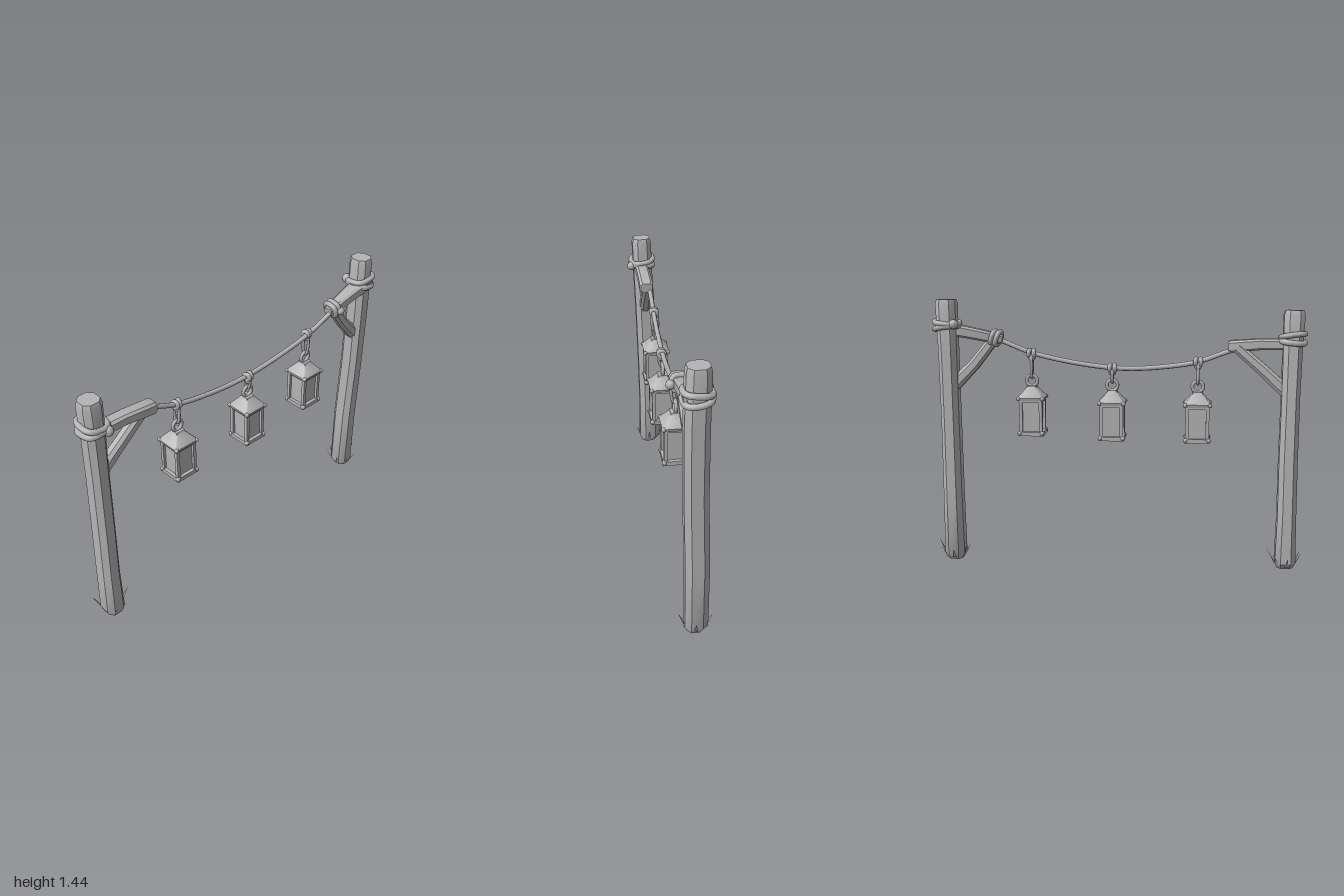
import * as THREE from 'three';
import { toCreasedNormals } from 'three/addons/utils/BufferGeometryUtils.js';

const V = (x, y, z) => new THREE.Vector3(x, y, z);
const grey = new THREE.MeshStandardMaterial({ color: 0xb4b4b4 });
grey.name = 'plain grey';
const greyThin = new THREE.MeshStandardMaterial({ color: 0xb4b4b4, side: THREE.DoubleSide });
greyThin.name = 'plain grey thin';

function add(parent, name, geometry, material = grey) {
  const mesh = new THREE.Mesh(geometry, material);
  mesh.name = name;
  parent.add(mesh);
  return mesh;
}

// Chamfered timber lofted through sections [x, y, z, width along x, depth]
function timber(sections, chamfer = 0.5) {
  const c = 1 - chamfer;
  const outline = [[1, -c], [1, c], [c, 1], [-c, 1], [-1, c], [-1, -c], [-c, -1], [c, -1]];
  const n = outline.length, pos = [], idx = [];
  const pts = sections.map(s => V(s[0], s[1], s[2]));
  const dir = pts[pts.length - 1].clone().sub(pts[0]).normalize();
  const v = dir.clone().cross(V(1, 0, 0)).normalize();
  const u = v.clone().cross(dir);
  sections.forEach((s, k) => outline.forEach(([a, b]) => {
    const p = pts[k].clone().addScaledVector(u, a * s[3] / 2).addScaledVector(v, b * s[4] / 2);
    pos.push(p.x, p.y, p.z);
  }));
  for (let k = 0; k < sections.length - 1; k++) {
    for (let i = 0; i < n; i++) {
      const a = k * n + i, b = k * n + (i + 1) % n;
      idx.push(a, b, b + n, a, b + n, a + n);
    }
  }
  const last = (sections.length - 1) * n;
  for (let i = 1; i < n - 1; i++) {
    idx.push(0, i + 1, i, last, last + i, last + i + 1);
  }
  const g = new THREE.BufferGeometry();
  g.setAttribute('position', new THREE.Float32BufferAttribute(pos, 3));
  g.setIndex(idx);
  return toCreasedNormals(g, 0.6);
}

const tube = (points, radius, closed = false, steps = 32) => new THREE.TubeGeometry(
  new THREE.CatmullRomCurve3(points, closed), steps, radius, 8, closed);

// Rounded rope loop around a squarish timber
function wrap(parent, name, center, axis, rx, rz, radius, tilt) {
  const pts = [];
  for (let i = 0; i < 16; i++) {
    const a = i / 16 * Math.PI * 2;
    const r = 1 + 0.05 * Math.cos(4 * a + Math.PI);
    pts.push(V(rx * r * Math.cos(a), tilt * Math.cos(a + 0.8), rz * r * Math.sin(a)));
  }
  const m = add(parent, name, tube(pts, radius, true, 48));
  m.quaternion.setFromUnitVectors(V(0, 1, 0), axis.clone().normalize());
  m.position.copy(center);
}

// Pointed blades around a post foot
function grass(parent, x, z) {
  for (let i = 0; i < 7; i++) {
    const a = i / 7 * Math.PI * 2 + 0.35, h = 0.06 + 0.02 * (i % 3);
    const blade = new THREE.Shape([
      new THREE.Vector2(-0.012, 0), new THREE.Vector2(0.012, 0), new THREE.Vector2(0, h)]);
    const pivot = new THREE.Group();
    pivot.name = 'grassBlade';
    pivot.position.set(x + 0.058 * Math.cos(a), 0.03, z + 0.052 * Math.sin(a));
    pivot.rotation.y = Math.PI / 2 - a;
    add(pivot, 'blade', new THREE.ShapeGeometry(blade), greyThin).rotation.x = 0.5;
    parent.add(pivot);
  }
}

// Lantern with base at y = 0
function makeLantern() {
  const g = new THREE.Group();
  g.name = 'lantern';
  const box = (name, w, h, d, x, y, z) =>
    add(g, name, new THREE.BoxGeometry(w, h, d)).position.set(x, y, z);
  box('base', 0.136, 0.022, 0.136, 0, 0.011, 0);
  box('glassBody', 0.098, 0.175, 0.098, 0, 0.108, 0);
  box('topRail', 0.122, 0.018, 0.122, 0, 0.19, 0);
  for (const sx of [-1, 1]) {
    for (const sz of [-1, 1]) {
      box('cornerPost', 0.018, 0.18, 0.018, sx * 0.054, 0.105, sz * 0.054);
      const foot = add(g, 'cornerKnob', new THREE.SphereGeometry(0.013, 8, 6));
      foot.position.set(sx * 0.061, 0.014, sz * 0.061);
      const eave = add(g, 'eaveKnob', new THREE.SphereGeometry(0.012, 8, 6));
      eave.position.set(sx * 0.065, 0.203, sz * 0.065);
    }
  }
  // Flared square roof
  const roof = timber([
    [0, 0.192, 0, 0.136, 0.136], [0, 0.207, 0, 0.144, 0.144],
    [0, 0.232, 0, 0.1, 0.1], [0, 0.258, 0, 0.058, 0.058], [0, 0.268, 0, 0.05, 0.05]], 0.12);
  add(g, 'roof', roof);
  return g;
}

export function createModel() {
  const model = new THREE.Group();
  model.name = 'lanternPosts';

  // Posts
  add(model, 'frontPost', timber([
    [-0.005, 0.012, 0.915, 0.085, 0.085], [-0.012, 0.045, 0.915, 0.128, 0.11],
    [-0.012, 0.3, 0.915, 0.125, 0.1], [-0.005, 0.6, 0.913, 0.122, 0.098],
    [0.008, 0.95, 0.915, 0.115, 0.095], [0.02, 1.2, 0.918, 0.11, 0.1],
    [0.025, 1.375, 0.922, 0.11, 0.108], [0.025, 1.4, 0.922, 0.095, 0.094]]));
  add(model, 'backPost', timber([
    [0.005, 0.012, -0.91, 0.08, 0.08], [0, 0.045, -0.91, 0.115, 0.11],
    [0, 0.4, -0.91, 0.118, 0.102], [0.012, 0.8, -0.913, 0.115, 0.098],
    [0.015, 1.15, -0.915, 0.115, 0.1], [0.012, 1.425, -0.918, 0.112, 0.108],
    [0.012, 1.45, -0.918, 0.1, 0.096]]));
  grass(model, -0.012, 0.915);
  grass(model, 0, -0.91);

  // Arms and braces
  add(model, 'frontArm', timber([
    [0.03, 1.222, 0.94, 0.075, 0.055], [0.033, 1.221, 0.75, 0.075, 0.058],
    [0.036, 1.208, 0.6, 0.078, 0.064], [0.036, 1.207, 0.586, 0.066, 0.054]], 0.35));
  add(model, 'backArm', timber([
    [0.03, 1.297, -0.95, 0.1, 0.065], [0.036, 1.275, -0.82, 0.085, 0.062],
    [0.048, 1.238, -0.64, 0.06, 0.055], [0.048, 1.235, -0.625, 0.048, 0.044]], 0.35));
  add(model, 'frontBrace', timber([
    [0.012, 0.975, 0.89, 0.06, 0.07], [0.018, 1.08, 0.775, 0.058, 0.062],
    [0.022, 1.205, 0.63, 0.055, 0.058]]));
  add(model, 'backBrace', timber([
    [0.02, 0.99, -0.89, 0.06, 0.07], [0.03, 1.1, -0.78, 0.058, 0.06],
    [0.04, 1.225, -0.68, 0.055, 0.056]]));

  // Rope lashings
  const up = V(0, 1, 0);
  wrap(model, 'frontLashing', V(0.024, 1.238, 0.918), up, 0.068, 0.064, 0.016, 0.008);
  wrap(model, 'frontLashing', V(0.024, 1.268, 0.918), up, 0.066, 0.064, 0.015, -0.012);
  wrap(model, 'backLashing', V(0.014, 1.298, -0.918), up, 0.066, 0.066, 0.015, -0.012);
  wrap(model, 'backLashing', V(0.014, 1.328, -0.918), up, 0.066, 0.066, 0.015, 0.01);
  const armAxis = V(0, -0.2, 1);
  for (const dz of [0, 0.026]) {
    wrap(model, 'armLashing', V(0.046, 1.246 - dz * 0.2, -0.675 + dz), armAxis, 0.04, 0.037, 0.014, 0.006);
  }
  add(model, 'armKnot', new THREE.SphereGeometry(0.024, 10, 8)).position.set(0.09, 1.24, -0.675);
  add(model, 'postKnot', new THREE.SphereGeometry(0.026, 10, 8)).position.set(0.09, 1.24, 0.88);
  add(model, 'postKnot', new THREE.SphereGeometry(0.026, 10, 8)).position.set(-0.04, 1.32, -0.87);

  // Sagging rope
  add(model, 'hangingRope', tube([
    V(0.02, 1.205, 0.66), V(0.017, 1.178, 0.57), V(0.02, 1.125, 0.42), V(0.027, 1.093, 0.2),
    V(0.032, 1.086, 0.05), V(0.037, 1.093, -0.08), V(0.045, 1.12, -0.27),
    V(0.052, 1.165, -0.47), V(0.056, 1.235, -0.65)], 0.013, false, 60));

  // Lanterns: x, z, base height, rope height
  for (const [x, z, y, ropeY] of [
    [0.01, 0.428, 0.7, 1.127], [0.035, -0.03, 0.7, 1.088], [0.036, -0.467, 0.72, 1.163]]) {
    const lantern = makeLantern();
    lantern.position.set(x, y, z);
    model.add(lantern);
    const ringY = y + 0.295;
    const ring = add(model, 'lanternRing', new THREE.TorusGeometry(0.029, 0.0095, 8, 20));
    ring.position.set(x, ringY, z);
    ring.rotation.y = Math.PI / 2;
    // Long link from the ring to the rope knot
    const low = ringY + 0.014, high = ropeY - 0.008, w = 0.013;
    add(model, 'hangingLink', tube([
      V(x, low, z), V(x + w, low + 0.016, z), V(x + w + 0.004, high - 0.014, z), V(x + 0.004, high, z),
      V(x - w + 0.004, high - 0.014, z), V(x - w, low + 0.016, z)], 0.008, true, 28));
    // Knot around the rope
    for (const s of [-1, 1]) {
      const loop = add(model, 'ropeKnot', new THREE.TorusGeometry(0.016, 0.012, 8, 16));
      loop.position.set(x + 0.006, ropeY, z + s * 0.011);
      loop.rotation.y = s * 0.25;
    }
    add(model, 'knotBulge', new THREE.SphereGeometry(0.02, 10, 8)).position.set(x + 0.006, ropeY - 0.024, z);
  }
  return model;
}
